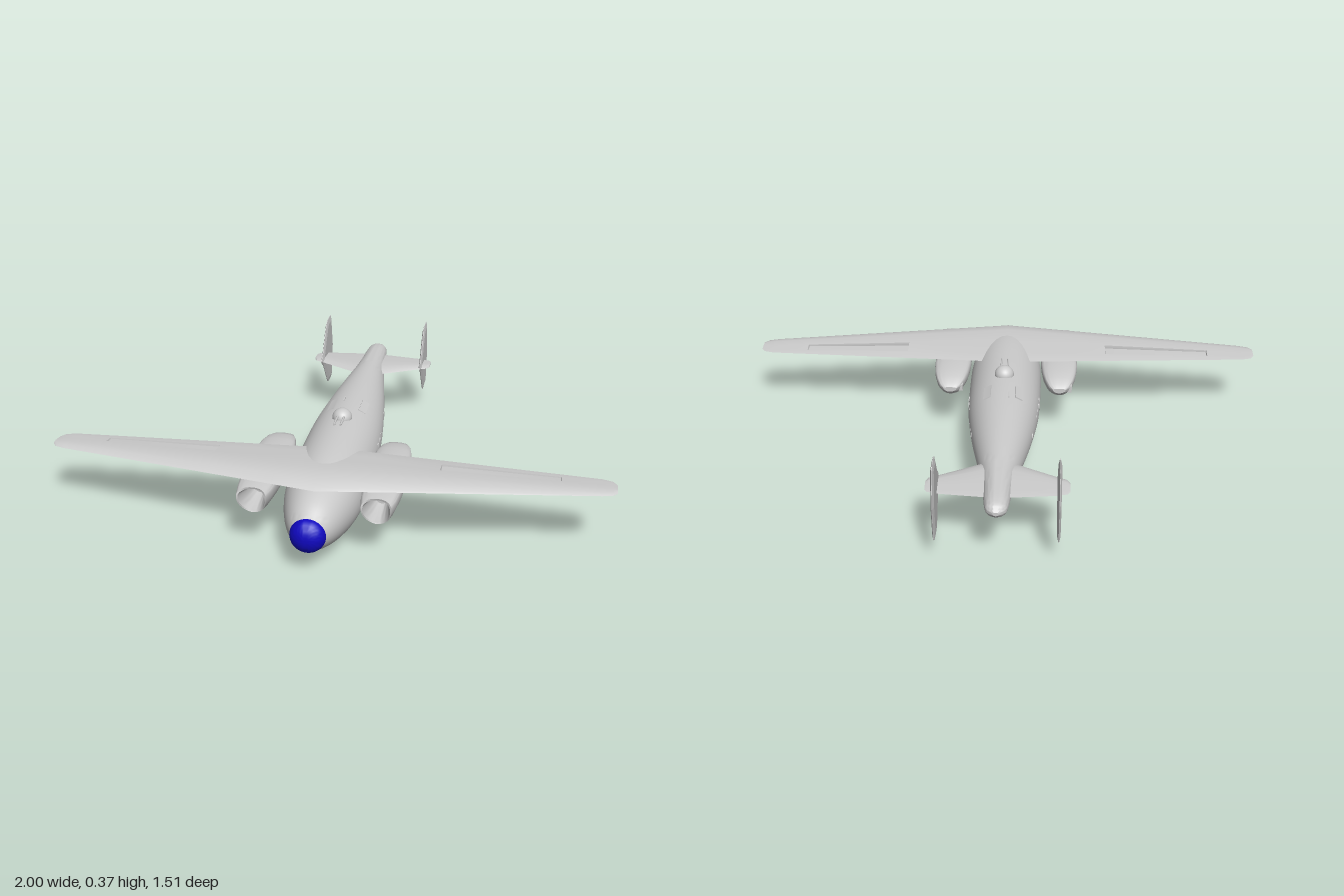
import * as THREE from 'three';
import { toCreasedNormals } from 'three/addons/utils/BufferGeometryUtils.js';

const grey = new THREE.MeshStandardMaterial({ color: 0xcccccc });
const blue = new THREE.MeshStandardMaterial({ color: 0x1008c0 });

function part(name, geometry, material = grey, parent = null) {
  const mesh = new THREE.Mesh(geometry, material);
  mesh.name = name;
  if (parent) parent.add(mesh);
  return mesh;
}

// Skin between rings of points; rings run counter-clockwise seen from the first end
function loft(rings, crease = 0.6) {
  const n = rings[0].length, pos = [], idx = [];
  rings.forEach(r => r.forEach(p => pos.push(...p)));
  for (let i = 0; i < rings.length - 1; i++) {
    for (let j = 0; j < n; j++) {
      const a = i * n + j, b = i * n + (j + 1) % n, c = a + n, d = b + n;
      idx.push(a, c, b, b, c, d);
    }
  }
  const last = (rings.length - 1) * n;
  [[0, 0], [last, 1]].forEach(([start, flip]) => {
    const mid = [0, 1, 2].map(k => rings[start / n].reduce((s, p) => s + p[k], 0) / n);
    const m = pos.length / 3;
    pos.push(...mid);
    for (let j = 0; j < n; j++) {
      const a = start + j, b = start + (j + 1) % n;
      idx.push(m, flip ? b : a, flip ? a : b);
    }
  });
  const g = new THREE.BufferGeometry();
  g.setAttribute('position', new THREE.Float32BufferAttribute(pos, 3));
  g.setIndex(idx);
  return toCreasedNormals(g, crease);
}

// Elliptical ring from [z, top, bottom, halfWidth]
function ellipse([z, top, bottom, w], n = 40) {
  return Array.from({ length: n }, (_, j) => {
    const a = j / n * Math.PI * 2;
    return [w * Math.cos(a), (top + bottom) / 2 + (top - bottom) / 2 * Math.sin(a), z];
  });
}

// Monotone-ish smooth resampling of fuselage stations
function smooth(rows, steps) {
  const a = new THREE.CatmullRomCurve3(rows.map(r => new THREE.Vector3(r[0], r[1], r[2])));
  const b = new THREE.CatmullRomCurve3(rows.map(r => new THREE.Vector3(r[0], r[3], 0)));
  return Array.from({ length: steps + 1 }, (_, i) => {
    const p = a.getPoint(i / steps), q = b.getPoint(i / steps);
    return [p.x, p.y, p.z, q.y];
  });
}

// Flat-bottomed airfoil ring; slot = 1 sinks a recess ahead of the trailing edge
function airfoil(x, lead, trail, base, h, slot = 0) {
  const at = (f, y) => [x, base + y, trail + (lead - trail) * f];
  const dip = 0.35 * h * slot;
  return [
    at(0, 0.08 * h), at(0.18, 0.38 * h), at(0.185, 0.38 * h - dip * 0.7),
    at(0.43, 0.72 * h - dip * 1.4), at(0.435, 0.72 * h), at(0.68, h), at(0.86, 0.74 * h),
    at(0.97, 0.35 * h), at(1, 0.16 * h), at(0.95, 0.03 * h),
    at(0.435, 0), at(0.43, dip * 0.5), at(0.185, dip * 0.3), at(0.18, 0)
  ];
}

// Mirrors stations [x, lead, trail, h, slot] from the left tip to the right tip
function wing(stations, base) {
  const all = [...stations, ...stations.slice(0, -1).reverse().map(s => [-s[0], ...s.slice(1)])];
  return loft(all.map(([x, l, t, h, s]) => airfoil(x, l, t, base, h, s)), 0.35);
}

// Underslung engine pod: flat top, rounded belly, hollow scalloped intake
function nacelle(x) {
  const g = new THREE.Group();
  g.name = 'engineNacelle';
  const ring = ([z, top, bottom, w, prong = 0]) => Array.from({ length: 32 }, (_, j) => {
    const a = j / 32 * Math.PI * 2, c = Math.cos(a), s = Math.sin(a);
    const belt = bottom + (top - bottom) * 0.72;
    const y = s > 0 ? belt + (top - belt) * Math.pow(s, 0.6) : belt + (belt - bottom) * s;
    return [w * c, y, z + prong * Math.abs(c) ** 3];
  });
  part('podShell', loft([
    [0.5, 0.215, 0.17, 0.025], [0.56, 0.225, 0.158, 0.035], [0.6, 0.238, 0.152, 0.047, 0.025],
    [0.602, 0.245, 0.148, 0.052, 0.025], [0.57, 0.249, 0.142, 0.06, 0.01], [0.5, 0.25, 0.137, 0.068],
    [0.4, 0.25, 0.134, 0.073], [0.3, 0.25, 0.137, 0.072], [0.23, 0.247, 0.147, 0.065],
    [0.18, 0.24, 0.161, 0.054], [0.145, 0.228, 0.179, 0.04], [0.13, 0.215, 0.195, 0.025]
  ].map(ring)), grey, g);
  const duct = part('exhaustDuct', new THREE.BoxGeometry(0.05, 0.025, 0.25), grey, g);
  duct.position.set(-0.024, 0.205, 0.27);
  g.position.x = x;
  return g;
}

export function createModel() {
  const model = new THREE.Group();
  model.name = 'aircraft';

  // Fuselage and coloured nose cap
  const hull = [
    [0.71, 0.206, 0.084, 0.061], [0.66, 0.236, 0.058, 0.086], [0.6, 0.257, 0.036, 0.107],
    [0.5, 0.278, 0.011, 0.13], [0.4, 0.288, 0.001, 0.14], [0.2, 0.293, 0.009, 0.141],
    [0, 0.292, 0.034, 0.134], [-0.2, 0.286, 0.07, 0.111], [-0.4, 0.276, 0.115, 0.079],
    [-0.5, 0.27, 0.14, 0.062], [-0.6, 0.265, 0.164, 0.05], [-0.7, 0.258, 0.188, 0.041],
    [-0.735, 0.25, 0.2, 0.033], [-0.755, 0.232, 0.218, 0.01]
  ];
  part('fuselage', loft(smooth(hull, 52).map(r => ellipse(r))), grey, model);
  const cap = Array.from({ length: 9 }, (_, i) => {
    const a = (i + 0.2) / 8.2 * Math.PI / 2, r = 0.062 * Math.sin(a);
    return ellipse([0.71 + 0.045 * Math.cos(a), 0.145 + r, 0.145 - r, r]);
  });
  part('noseCap', loft(cap), blue, model);

  // Main wing with recessed flap slots
  const lead = x => 0.61 - 0.16 * x, trail = x => 0.28 + 0.06 * x, thick = x => 0.039 - 0.029 * x;
  const span = (x, s = 0) => [x, lead(x), trail(x), thick(x), s];
  part('mainWing', wing([
    [1, 0.43, 0.37, 0.007], [0.985, 0.447, 0.348, 0.009], span(0.95), span(0.812), span(0.81, 1),
    span(0.402, 1), span(0.4), span(0.15), span(0)
  ], 0.25), grey, model);

  // Tailplane
  part('tailplane', wing([
    [0.245, -0.565, -0.62, 0.006], [0.235, -0.547, -0.635, 0.009], [0.2, -0.53, -0.645, 0.011],
    [0.06, -0.455, -0.66, 0.016], [0, -0.43, -0.665, 0.017]
  ], 0.228), grey, model);

  // Twin fins with chamfered edges
  const outline = new THREE.Shape([
    [-0.515, 0.235], [-0.545, 0.257], [-0.625, 0.362], [-0.645, 0.375], [-0.712, 0.375], [-0.723, 0.367],
    [-0.752, 0.235], [-0.728, 0.098], [-0.712, 0.088], [-0.655, 0.088], [-0.635, 0.102], [-0.555, 0.205]
  ].map(p => new THREE.Vector2(...p)));
  const fin = new THREE.ExtrudeGeometry(outline, {
    depth: 0.002, bevelThickness: 0.005, bevelSize: 0.02, bevelOffset: -0.02, bevelSegments: 1
  });
  fin.rotateY(-Math.PI / 2).translate(0.001, 0, 0);

  for (const side of [1, -1]) {
    part('tailFin', fin, grey, model).position.x = side * 0.208;
    model.add(nacelle(side * 0.214));

    // Side windows
    for (let i = 0; i < 7; i++) {
      const z = 0.095 - i * 0.045;
      const pane = part('sideWindow', new THREE.CylinderGeometry(0.013, 0.013, 0.006, 6), grey, model);
      const w = 0.136 - Math.max(0, 0.06 - z) * 0.1;
      pane.rotation.z = Math.PI / 2;
      pane.position.set(side * (w - 0.001), 0.18, z);
    }

    // Roof hatch strips
    const hatch = part('roofHatch', new THREE.BoxGeometry(0.03, 0.004, 0.09), grey, model);
    hatch.position.set(side * 0.06, 0.278, -0.025);
    hatch.rotation.z = -side * 0.5;

    // Turret guns
    const gun = part('turretGun', new THREE.CylinderGeometry(0.004, 0.004, 0.09, 10), grey, model);
    gun.rotation.x = Math.PI / 2;
    gun.position.set(side * 0.012, 0.306, 0.155);
  }

  // Dorsal turret
  const dome = part('turret', new THREE.SphereGeometry(0.037, 28, 18), grey, model);
  dome.scale.y = 0.95;
  dome.position.set(0, 0.291, 0.102);
  const aerial = part('roofBlade', new THREE.BoxGeometry(0.005, 0.008, 0.04), grey, model);
  aerial.position.set(-0.022, 0.288, -0.06);

  return model;
}
